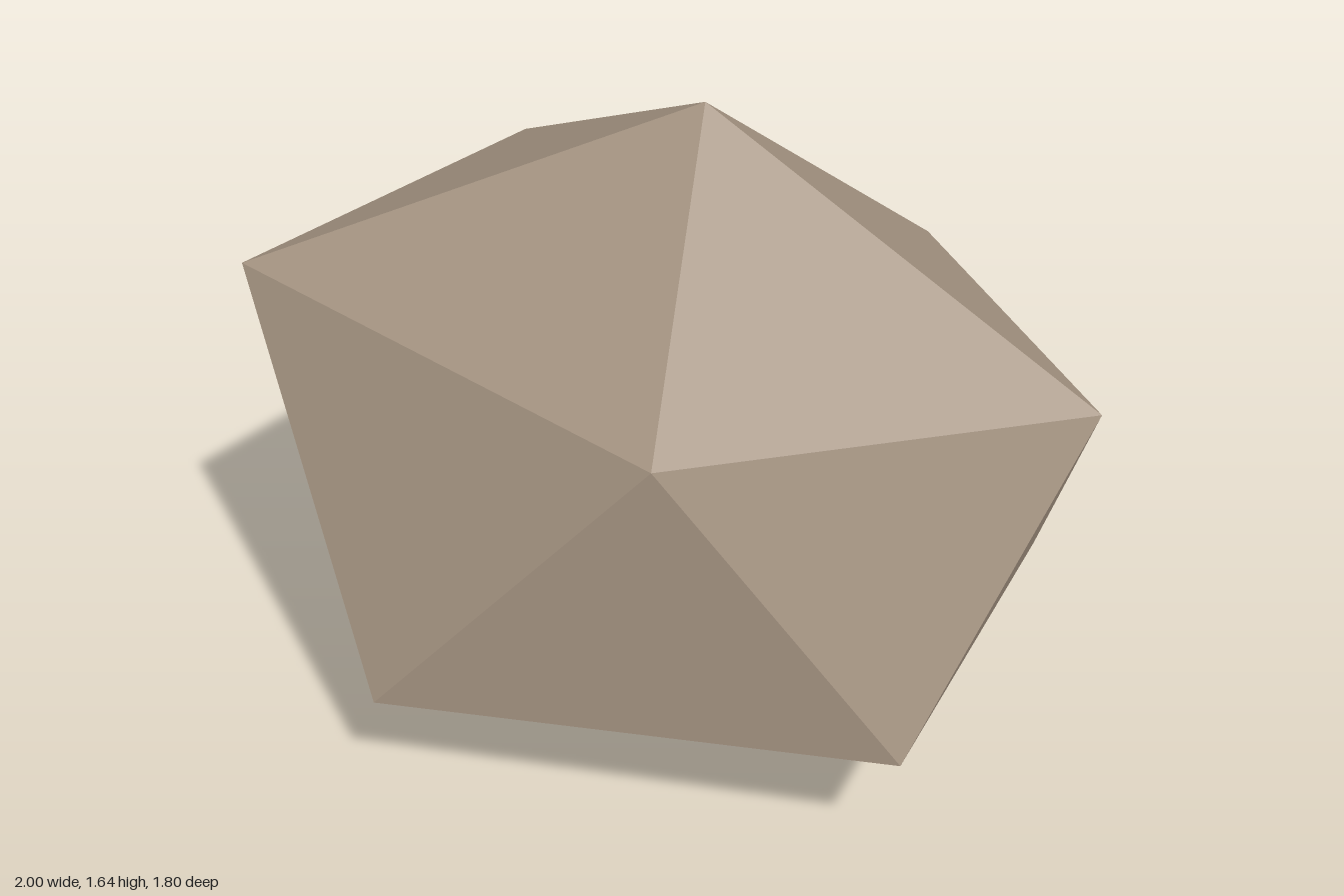
import * as THREE from 'three';
import { ConvexGeometry } from 'three/addons/geometries/ConvexGeometry.js';

const stone = new THREE.MeshStandardMaterial({ color: 0xa39280 });
stone.name = 'stone';

// Irregular twenty-sided boulder: two poles joined by two staggered rings of five
function boulderGeometry() {
  const top = [0.13, 1.64, 0.03];
  const bottom = [0.13, 0, 0.03];
  const upper = [[-0.01, 1.06, 0.72], [1, 1.13, 0.61], [0.74, 1.08, -0.39], [-0.33, 1.15, -0.9], [-1, 1.19, -0.04]];
  const lower = [[0.56, 0.365, 0.9], [1, 0.405, 0.08], [0.29, 0.38, -0.77], [-0.76, 0.35, -0.56], [-0.68, 0.31, 0.58]];
  const points = [];
  for (let i = 0; i < 5; i++) {
    const j = (i + 1) % 5;
    points.push(
      top, upper[i], upper[j],
      upper[i], lower[i], upper[j],
      lower[i], lower[j], upper[j],
      bottom, lower[j], lower[i]
    );
  }
  const geometry = new THREE.BufferGeometry();
  geometry.setAttribute('position', new THREE.Float32BufferAttribute(points.flat(), 3));
  geometry.computeVertexNormals(); // unshared corners give flat facets
  return geometry;
}

// Small splinter poking out below the back edge
function splinterGeometry() {
  return new ConvexGeometry([
    new THREE.Vector3(0.4, 1.1, -0.6),
    new THREE.Vector3(0.43, 1.12, -0.525),
    new THREE.Vector3(0.55, 0.94, -0.525),
    new THREE.Vector3(0.36, 1.05, -0.57),
  ]);
}

export function createModel() {
  const group = new THREE.Group();
  group.name = 'rock';
  const parts = { boulder: boulderGeometry(), splinter: splinterGeometry() };
  for (const [name, geometry] of Object.entries(parts)) {
    const mesh = new THREE.Mesh(geometry, stone);
    mesh.name = name;
    group.add(mesh);
  }
  return group;
}
